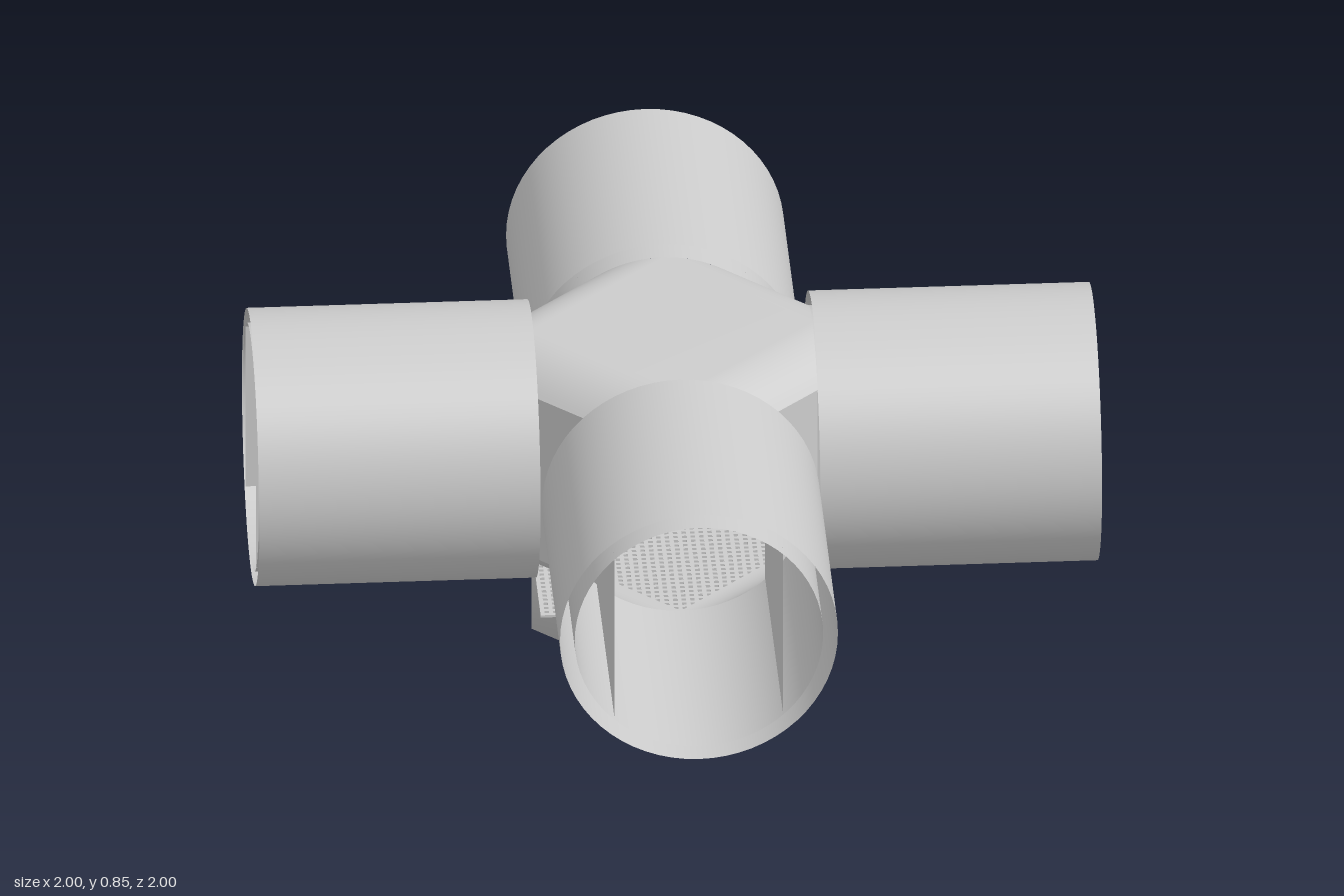
import * as THREE from 'three';
import { mergeGeometries, mergeVertices, toCreasedNormals } from 'three/addons/utils/BufferGeometryUtils.js';

const AXIS_Y = 0.515;   // height of the pipe axes
const HUB = 0.333;      // half width of the hub
const OUTER = 0.33;     // sleeve radius
const BORE = 0.295;     // lining radius
const FLAT = 0.2;       // offset of the flat bore walls
const FLAT_H = Math.sqrt(BORE * BORE - FLAT * FLAT);
const LENGTH = 1 - HUB;

const material = new THREE.MeshStandardMaterial({ color: 0xcccccc, side: THREE.DoubleSide });

function addMesh(parent, geometry, name) {
  const mesh = new THREE.Mesh(geometry, material);
  mesh.name = name;
  parent.add(mesh);
  return mesh;
}

// Ruled strip across one corner between two neighbouring faces, repeated on all four corners.
// The profile lists [distance from face centre line, height].
function fourCorners(profile) {
  const points = [], index = [];
  profile.forEach(([u, y], i) => {
    points.push(u, y, HUB, HUB, y, u);
    if (i > 0) {
      const a = 2 * (i - 1);
      index.push(a, a + 1, a + 2, a + 1, a + 3, a + 2);
    }
  });
  const corner = new THREE.BufferGeometry();
  corner.setAttribute('position', new THREE.Float32BufferAttribute(points, 3));
  corner.setIndex(index);
  return [0, 1, 2, 3].map(k => corner.clone().rotateY(k * Math.PI / 2));
}

// Flat diamond joining the four face centre lines
function diamond(y, faceUp) {
  const g = new THREE.BufferGeometry();
  g.setAttribute('position', new THREE.Float32BufferAttribute(
    [0, y, HUB, HUB, y, 0, 0, y, -HUB, -HUB, y, 0], 3));
  g.setIndex(faceUp ? [0, 1, 2, 0, 2, 3] : [0, 2, 1, 0, 3, 2]);
  return g;
}

function createArm() {
  const arm = new THREE.Group();
  arm.name = 'pipeArm';
  const mid = HUB + LENGTH / 2;
  const tube = r => new THREE.CylinderGeometry(r, r, LENGTH, 64, 1, true)
    .rotateX(Math.PI / 2).translate(0, AXIS_Y, mid);
  addMesh(arm, tube(OUTER), 'outerSleeve');
  addMesh(arm, tube(BORE), 'innerLining');
  // Flat walls on both sides of the bore
  for (const side of [-1, 1]) {
    const wall = new THREE.PlaneGeometry(LENGTH, 2 * FLAT_H)
      .rotateY(-side * Math.PI / 2).translate(side * FLAT, AXIS_Y, mid);
    addMesh(arm, wall, side > 0 ? 'leftBoreWall' : 'rightBoreWall');
  }
  return arm;
}

export function createModel() {
  const model = new THREE.Group();
  model.name = 'pipeJunction';

  // Hub: arcs and flats of the bores stretched across the corners
  const profile = [];
  const limit = Math.asin(FLAT / BORE);
  const STEPS = 12;
  for (const end of [-1, 1]) {
    for (let i = 0; i <= STEPS; i++) {
      const a = limit * (end < 0 ? i : STEPS - i) / STEPS;
      profile.push([BORE * Math.sin(a), AXIS_Y + end * BORE * Math.cos(a)]);
    }
  }
  const hub = mergeGeometries([...fourCorners(profile), diamond(AXIS_Y + BORE, true)]);
  addMesh(model, toCreasedNormals(hub, 0.6), 'hub');

  // Diamond-shaped foot with softened shading
  const footTop = AXIS_Y - BORE;
  const foot = mergeVertices(mergeGeometries(
    [...fourCorners([[0, 0], [0, footTop]]), diamond(0, false)]), 1e-4);
  foot.computeVertexNormals();
  addMesh(model, foot, 'foot');

  // Fine square grille between hub and foot
  const bars = [];
  const COUNT = 32;
  for (let i = 0; i <= COUNT; i++) {
    const p = (i / COUNT * 2 - 1) * (HUB - 0.005);
    bars.push(new THREE.BoxGeometry(0.01, 0.006, 2 * HUB).translate(p, footTop - 0.004, 0));
    bars.push(new THREE.BoxGeometry(2 * HUB, 0.006, 0.01).translate(0, footTop - 0.004, p));
  }
  addMesh(model, mergeGeometries(bars), 'grille');

  // Four arms
  for (let k = 0; k < 4; k++) {
    const arm = createArm();
    arm.rotation.y = k * Math.PI / 2;
    model.add(arm);
  }
  return model;
}
